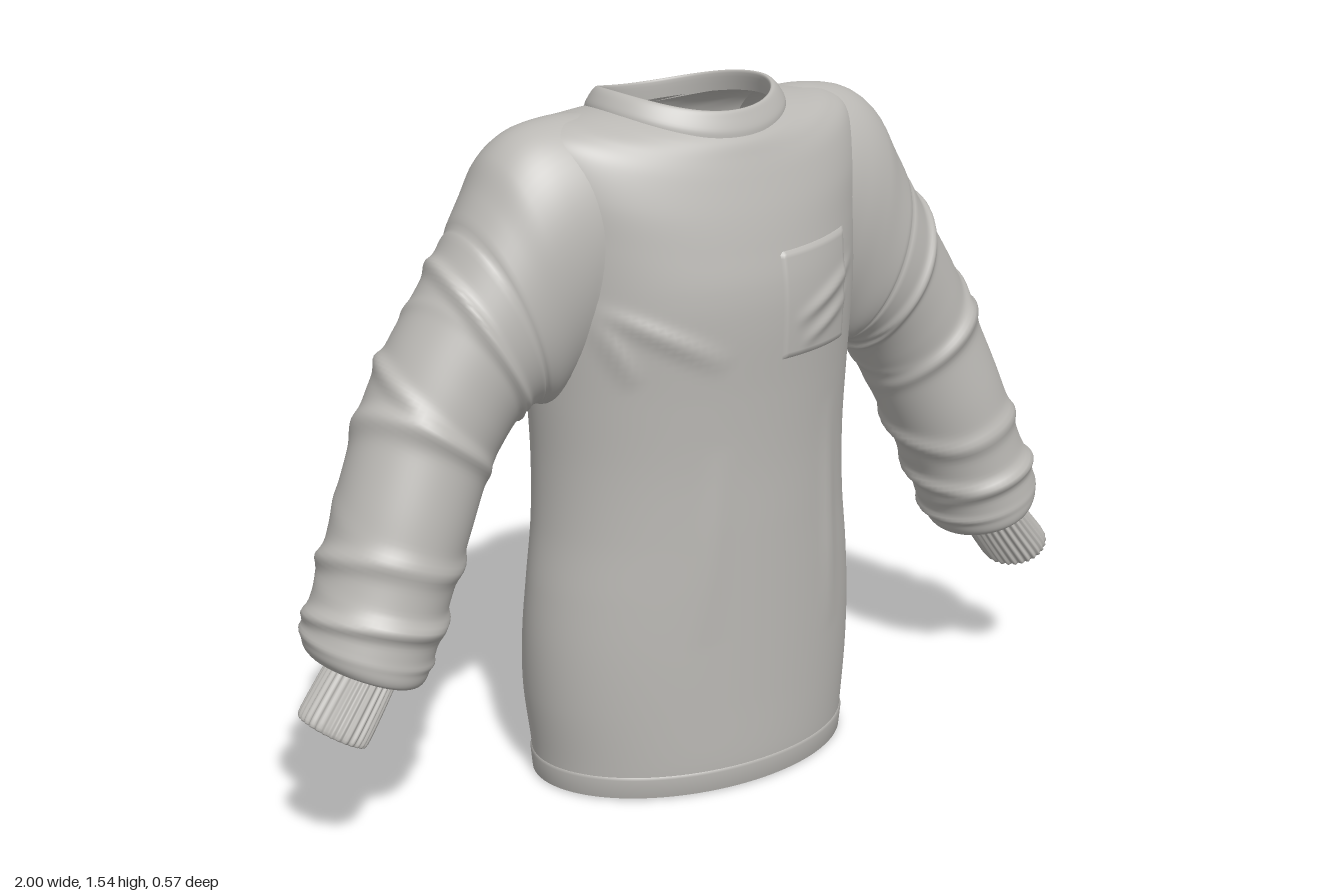
import * as THREE from 'three';

// Body sections: y at front and back, half width, front z, back z, side lift
const BODY = [
  [0.005, 0.387, 0.265, -0.25, 0], [0.07, 0.392, 0.27, -0.258, 0], [0.2, 0.405, 0.27, -0.284, 0],
  [0.33, 0.408, 0.27, -0.268, 0], [0.46, 0.4, 0.27, -0.246, 0], [0.6, 0.385, 0.27, -0.24, 0],
  [0.75, 0.382, 0.27, -0.24, 0], [0.9, 0.39, 0.275, -0.243, 0], [1.05, 0.4, 0.283, -0.247, 0],
  [1.14, 0.405, 0.28, -0.25, 0.01], [1.22, 0.415, 0.265, -0.251, 0.05], [1.29, 0.42, 0.248, -0.25, 0.09],
  [1.36, 0.4, 0.226, -0.245, 0.1], [1.405, 0.35, 0.21, -0.236, 0.083], [1.435, 0.28, 0.198, -0.225, 0.06],
  [1.455, 0.212, 0.183, -0.214, 0.045],
];
// Collar sections, same layout, ending on the inside
const COLLAR = [
  [1.448, 0.222, 0.19, -0.219, 0.045], [1.462, 0.218, 0.188, -0.217, 0.045], [1.485, 0.203, 0.178, -0.21, 0.042],
  [1.5, 0.19, 0.17, -0.204, 0.035], [1.496, 0.183, 0.163, -0.197, 0.033], [1.46, 0.192, 0.165, -0.198, 0.03],
];
// Sleeve sections: outer x, outer y, inner x, inner y, centre z, half depth
const SLEEVE = [
  [0.24, 1.495, 0.22, 1.1, -0.015, 0.16], [0.33, 1.497, 0.25, 1.03, -0.01, 0.175], [0.42, 1.48, 0.3, 0.96, -0.01, 0.178],
  [0.485, 1.435, 0.34, 0.92, -0.01, 0.174], [0.53, 1.36, 0.38, 0.89, -0.008, 0.166], [0.6, 1.24, 0.425, 0.895, -0.005, 0.157],
  [0.66, 1.15, 0.465, 0.87, -0.007, 0.152], [0.72, 1.06, 0.5, 0.825, -0.01, 0.15], [0.78, 0.95, 0.535, 0.77, -0.008, 0.148],
  [0.855, 0.78, 0.59, 0.66, 0.01, 0.147], [0.915, 0.62, 0.65, 0.53, 0.025, 0.143], [0.965, 0.5, 0.7, 0.415, 0.035, 0.142],
  [0.955, 0.45, 0.735, 0.368, 0.042, 0.13], [0.915, 0.433, 0.8, 0.375, 0.05, 0.092],
];
// Cuff sections, same layout, ending on the inside
const CUFF = [
  [0.91, 0.44, 0.797, 0.38, 0.05, 0.088], [0.955, 0.387, 0.835, 0.322, 0.056, 0.09], [0.994, 0.338, 0.874, 0.268, 0.062, 0.09],
  [0.986, 0.332, 0.88, 0.271, 0.062, 0.08], [0.94, 0.39, 0.845, 0.335, 0.056, 0.078],
];
// Sleeve folds: position along sleeve, height, width, tilt, facing angle
const SLEEVE_FOLDS = [
  [4.55, -0.005, 0.07, 0, 0], [5.3, 0.013, 0.16, 0.3, -0.4], [6.0, 0.01, 0.14, -0.3, 2.4], [7.45, 0.012, 0.17, 0.4, 0.6],
  [8.15, 0.014, 0.16, -0.25, -0.6], [9.3, 0.012, 0.14, 0.3, 2.8], [9.75, 0.014, 0.13, -0.2, 0.4],
  [10.2, 0.013, 0.12, 0.2, 2.9], [10.6, 0.014, 0.12, -0.15, -0.7], [11.05, 0.012, 0.12, 0.1, 2],
];
// Body folds as soft ridges: x0, y0, x1, y1, height, width
const FRONT_FOLDS = [
  [-0.36, 1.13, -0.08, 0.98, 0.012, 0.018], [-0.35, 1.11, -0.27, 0.95, 0.011, 0.016], [0.08, 1.05, 0.31, 1.15, 0.01, 0.016],
  [0.1, 1.0, 0.28, 1.08, 0.008, 0.015], [0.22, 0.85, 0.245, 0.3, 0.008, 0.022], [-0.1, 0.8, -0.13, 0.35, 0.005, 0.03],
];
const BACK_FOLDS = [
  [0.36, 1.17, 0.1, 1.07, 0.011, 0.018], [0.36, 1.1, 0.2, 1.0, 0.009, 0.016],
  [-0.36, 1.17, -0.12, 1.08, 0.011, 0.018], [-0.35, 1.1, -0.24, 0.98, 0.009, 0.016], [0.1, 0.75, 0.12, 0.4, 0.005, 0.03],
];

// Smooth interpolation through a list of sections
function sample(rows, t) {
  const n = rows.length - 1;
  const i = Math.min(Math.floor(t), n - 1), f = t - i;
  const [a, b, c, d] = [i - 1, i, i + 1, i + 2].map(k => rows[Math.max(0, Math.min(n, k))]);
  return b.map((_, k) => b[k] + 0.5 * f * (c[k] - a[k]
    + f * (2 * a[k] - 5 * b[k] + 4 * c[k] - d[k] + f * (3 * (b[k] - c[k]) + d[k] - a[k]))));
}

// Position along the body for a given height
function bodyAt(y) {
  let lo = 0, hi = BODY.length - 1;
  for (let k = 0; k < 24; k++) {
    const m = (lo + hi) / 2;
    if (sample(BODY, m)[0] < y) lo = m; else hi = m;
  }
  return lo;
}

// Grid surface; wraps around when closed
function surface(rows, cols, closed, point) {
  const pos = [], index = [], w = closed ? cols : cols + 1;
  for (let i = 0; i <= rows; i++)
    for (let j = 0; j < w; j++) pos.push(...point(i / rows, j / cols));
  for (let i = 0; i < rows; i++)
    for (let j = 0; j < cols; j++) {
      const a = i * w + j, b = i * w + (j + 1) % w;
      index.push(a, a + w, b, b, a + w, b + w);
    }
  const g = new THREE.BufferGeometry();
  g.setAttribute('position', new THREE.Float32BufferAttribute(pos, 3));
  g.setIndex(index);
  g.computeVertexNormals();
  return g;
}

function ridges(folds, x, y) {
  let sum = 0;
  for (const [x0, y0, x1, y1, h, w] of folds) {
    const dx = x1 - x0, dy = y1 - y0, len2 = dx * dx + dy * dy;
    const u = ((x - x0) * dx + (y - y0) * dy) / len2;
    if (u <= 0 || u >= 1) continue;
    const dist = ((x - x0) * dy - (y - y0) * dx) / Math.sqrt(len2);
    sum += h * Math.sin(Math.PI * u) * Math.exp(-((dist / w) ** 2));
  }
  return sum;
}

// Point on a horizontal ring, raised at the sides by its lift
function ringPoint([y, a, zf, zb, lift], angle, out = 0) {
  const c = Math.cos(angle), s = Math.sin(angle);
  return [(a + out) * c, y + lift * c * c, s * ((s > 0 ? zf : -zb) + out)];
}

function bodyPoint(t, angle, out = 0) {
  const p = ringPoint(sample(BODY, t), angle, out);
  p[2] += p[2] > 0 ? ridges(FRONT_FOLDS, p[0], p[1]) : -ridges(BACK_FOLDS, p[0], p[1]);
  return p;
}

// Point on a tilted arm ring; bulge moves it outwards
function armPoint([ox, oy, ix, iy, zc, zr], angle, side, bulge = 0) {
  const ex = (ox - ix) / 2, ey = (oy - iy) / 2, r = Math.hypot(ex, ey);
  const k = Math.cos(angle) * (1 + bulge / r);
  return [side * ((ox + ix) / 2 + ex * k), (oy + iy) / 2 + ey * k, zc - side * Math.sin(angle) * (zr + bulge)];
}

function sleevePoint(t, angle, side) {
  let bulge = 0;
  for (const [at, h, w, tilt, facing] of SLEEVE_FOLDS) {
    const d = (t + tilt * Math.sin(side * angle) - at) / w;
    bulge += h * Math.exp(-d * d) * (h < 0 ? 1 : 0.55 + 0.45 * Math.cos(side * angle - facing));
  }
  const p = armPoint(sample(SLEEVE, t), angle, side, bulge);
  // Tuck hidden parts against the body wall so the inside stays clear
  if (p[1] < 1.36) {
    const [, a, zf, zb] = sample(BODY, bodyAt(p[1]));
    const r = Math.hypot(p[0] / a, p[2] / (p[2] > 0 ? zf : zb));
    if (r < 0.985) { p[0] *= 0.985 / r; p[2] *= 0.985 / r; }
  }
  return p;
}

export function createModel() {
  const model = new THREE.Group();
  const fabric = new THREE.MeshStandardMaterial({ color: 0xbab8b4, side: THREE.DoubleSide });
  fabric.name = 'grey fabric';
  const add = (name, geometry) => {
    const mesh = new THREE.Mesh(geometry, fabric);
    mesh.name = name;
    model.add(mesh);
  };
  const TAU = Math.PI * 2;

  // Torso and collar band
  add('body', surface(150, 128, true, (u, v) => bodyPoint(u * (BODY.length - 1), v * TAU)));
  add('collar', surface(20, 96, true, (u, v) => ringPoint(sample(COLLAR, u * (COLLAR.length - 1)), v * TAU)));

  // Hem band folded to the inside: height and offset of each ring
  const hem = [[0.06, -0.012], [0.006, -0.012], [0, -0.005], [0.004, 0.003], [0.048, 0.004], [0.054, 0]];
  add('hem', surface(hem.length - 1, 96, true, (u, v) => {
    const [y, out] = hem[Math.round(u * (hem.length - 1))];
    const p = bodyPoint(bodyAt(y), v * TAU, out);
    p[1] = y;
    return p;
  }));

  // Chest pocket following the body, with its border sunk into the cloth
  add('pocket', surface(30, 28, false, (u, v) => {
    const border = u === 0 || u === 1 || v === 0 || v === 1;
    const t = bodyAt(0.975 + 0.235 * u);
    const x = 0.265 - 0.215 * v;
    const p = bodyPoint(t, Math.acos(x / sample(BODY, t)[1]));
    p[2] += border ? -0.002 : 0.006;
    return p;
  }));

  // Sleeves and ribbed cuffs
  for (const [label, side] of [['left', 1], ['right', -1]]) {
    add(label + 'Sleeve', surface(180, 64, true, (u, v) => sleevePoint(u * (SLEEVE.length - 1), v * TAU, side)));
    add(label + 'Cuff', surface(16, 168, true, (u, v) =>
      armPoint(sample(CUFF, u * (CUFF.length - 1)), v * TAU, side, 0.003 * Math.cos(28 * v * TAU))));
  }
  return model;
}
